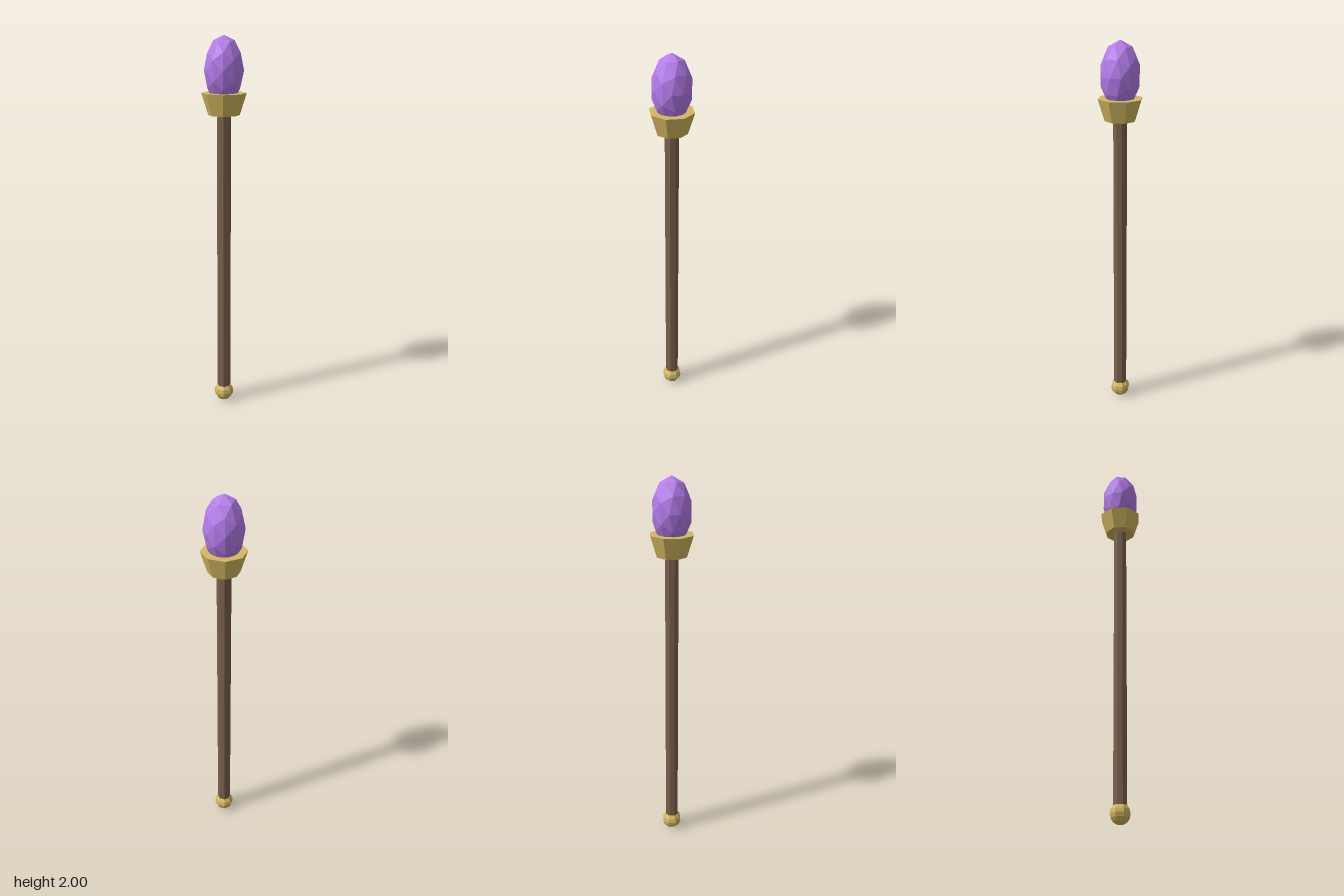
import * as THREE from 'three';

export function createModel() {
  const group = new THREE.Group();
  group.name = 'staff';
  const mat = (color) => new THREE.MeshStandardMaterial({ color, flatShading: true });
  const gold = mat(0xd4b860);
  const wood = mat(0x7a604c);
  const purple = mat(0xb57cec);

  const add = (name, geometry, material, y) => {
    const mesh = new THREE.Mesh(geometry, material);
    mesh.name = name;
    mesh.position.y = y;
    group.add(mesh);
    return mesh;
  };

  // Round knob at the foot
  add('pommel', new THREE.SphereGeometry(0.053, 8, 8), gold, 0.053);

  // Octagonal wooden pole, from inside the knob to the base of the cup
  add('shaft', new THREE.CylinderGeometry(0.036, 0.036, 1.56, 8), wood, 0.83);

  // Flared cup holding the gem
  add('cup', new THREE.CylinderGeometry(0.114, 0.08, 0.11, 8), gold, 1.665);

  // Faceted, stretched gem
  const gem = add('gem', new THREE.IcosahedronGeometry(0.1, 1), purple, 1.83);
  gem.scale.y = 1.7;

  return group;
}
